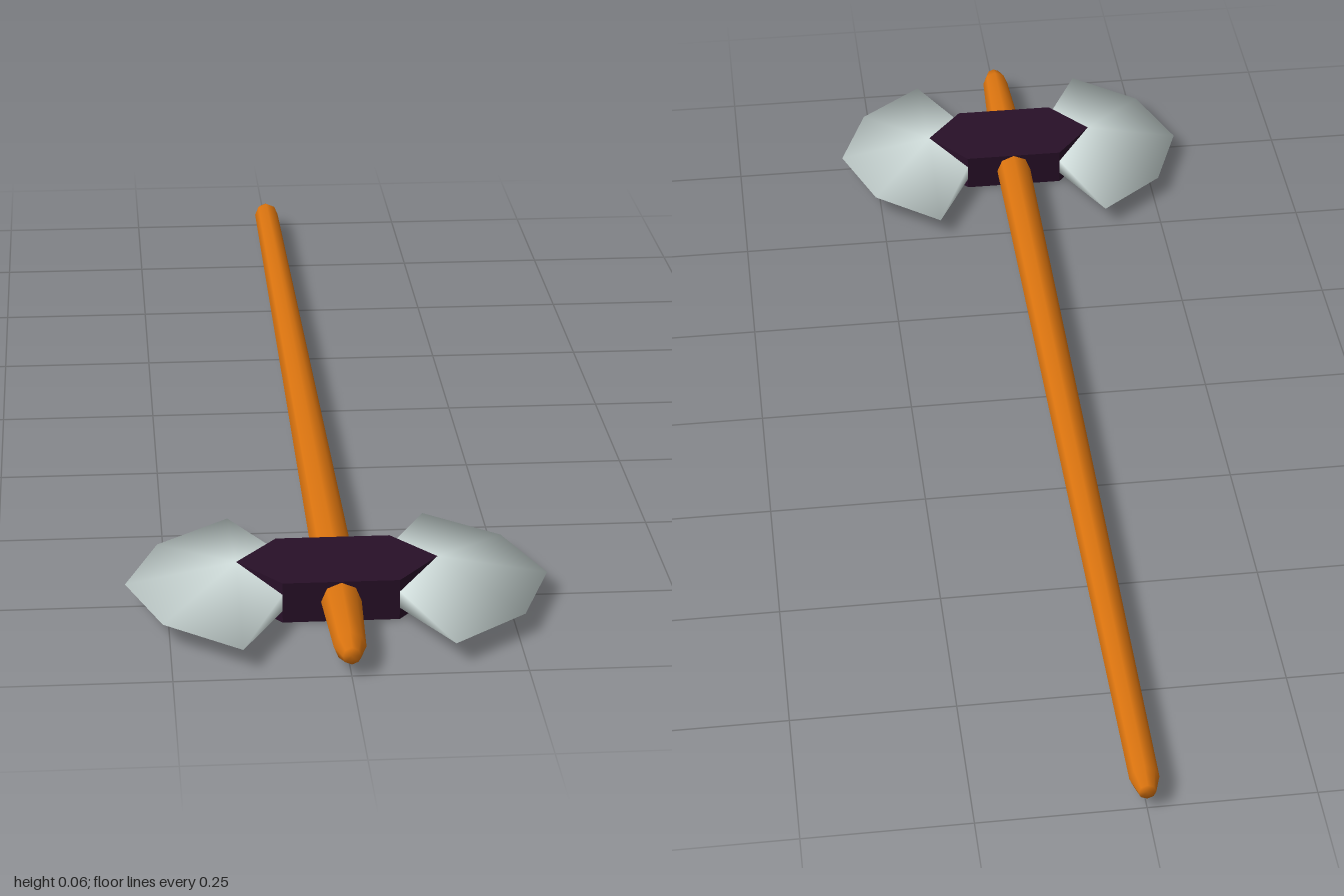
import * as THREE from 'three';

const MID_Y = 0.033; // height of the handle axis
const HALF = 0.031; // half thickness of the head
const HEAD_Z = 0.74; // head position along the handle

// Eight-sided tapered handle with chamfered ends, lying along z
function handleGeometry() {
  const profile = [[0, -1], [0.013, -1], [0.022, -0.97], [0.0305, 0.66], [0.0295, 0.82], [0.023, 0.97], [0.013, 1], [0, 1]];
  const g = new THREE.LatheGeometry(profile.map(([r, y]) => new THREE.Vector2(r, y)), 8);
  return g.rotateX(Math.PI / 2);
}

// Hexagonal socket block
function socketGeometry() {
  const pts = [[0.148, 0], [0.085, 0.08], [-0.085, 0.08], [-0.148, 0], [-0.085, -0.08], [0.085, -0.08]];
  const shape = new THREE.Shape(pts.map(([x, y]) => new THREE.Vector2(x, y)));
  const g = new THREE.ExtrudeGeometry(shape, { depth: HALF * 2, bevelEnabled: false });
  return g.translate(0, 0, -HALF).rotateX(-Math.PI / 2);
}

// Crescent blade: two fans from raised peaks down to a shared sharp rim
function bladeGeometry() {
  const rim = [[0.15, 0.23], [0.26, 0.14], [0.311, 0], [0.26, -0.14], [0.15, -0.23]];
  const t = 0.013; // half thickness at the root
  const pos = [0.148, HALF, 0, 0.148, -HALF, 0]; // peaks: 0 top, 1 bottom
  rim.forEach(([x, z]) => pos.push(x, 0, z)); // rim: 2..6
  pos.push(0.085, t, 0.08, 0.085, -t, 0.08, 0.085, t, -0.08, 0.085, -t, -0.08); // roots: 7..10
  const top = [7, 2, 3, 4, 5, 6, 9];
  const bottom = [8, 2, 3, 4, 5, 6, 10];
  const index = [];
  for (let i = 0; i < 6; i++) {
    index.push(0, top[i], top[i + 1]);
    index.push(1, bottom[i + 1], bottom[i]);
  }
  index.push(7, 8, 2, 9, 6, 10); // inner edges of the horns
  const g = new THREE.BufferGeometry();
  g.setAttribute('position', new THREE.Float32BufferAttribute(pos, 3));
  g.setIndex(index);
  g.computeVertexNormals();
  return g;
}

export function createModel() {
  const wood = new THREE.MeshStandardMaterial({ color: 0xd9730f });
  wood.name = 'orange wood';
  const dark = new THREE.MeshStandardMaterial({ color: 0x281028 });
  dark.name = 'dark purple metal';
  const steel = new THREE.MeshStandardMaterial({ color: 0xd2dfdd });
  steel.name = 'pale steel';

  const model = new THREE.Group();
  model.name = 'doubleAxe';
  const add = (name, geometry, material, z) => {
    const mesh = new THREE.Mesh(geometry, material);
    mesh.name = name;
    mesh.position.set(0, MID_Y, z);
    model.add(mesh);
    return mesh;
  };

  add('handle', handleGeometry(), wood, 0);
  add('socket', socketGeometry(), dark, HEAD_Z);
  const blade = bladeGeometry();
  add('leftBlade', blade, steel, HEAD_Z);
  add('rightBlade', blade, steel, HEAD_Z).rotation.y = Math.PI;
  return model;
}
